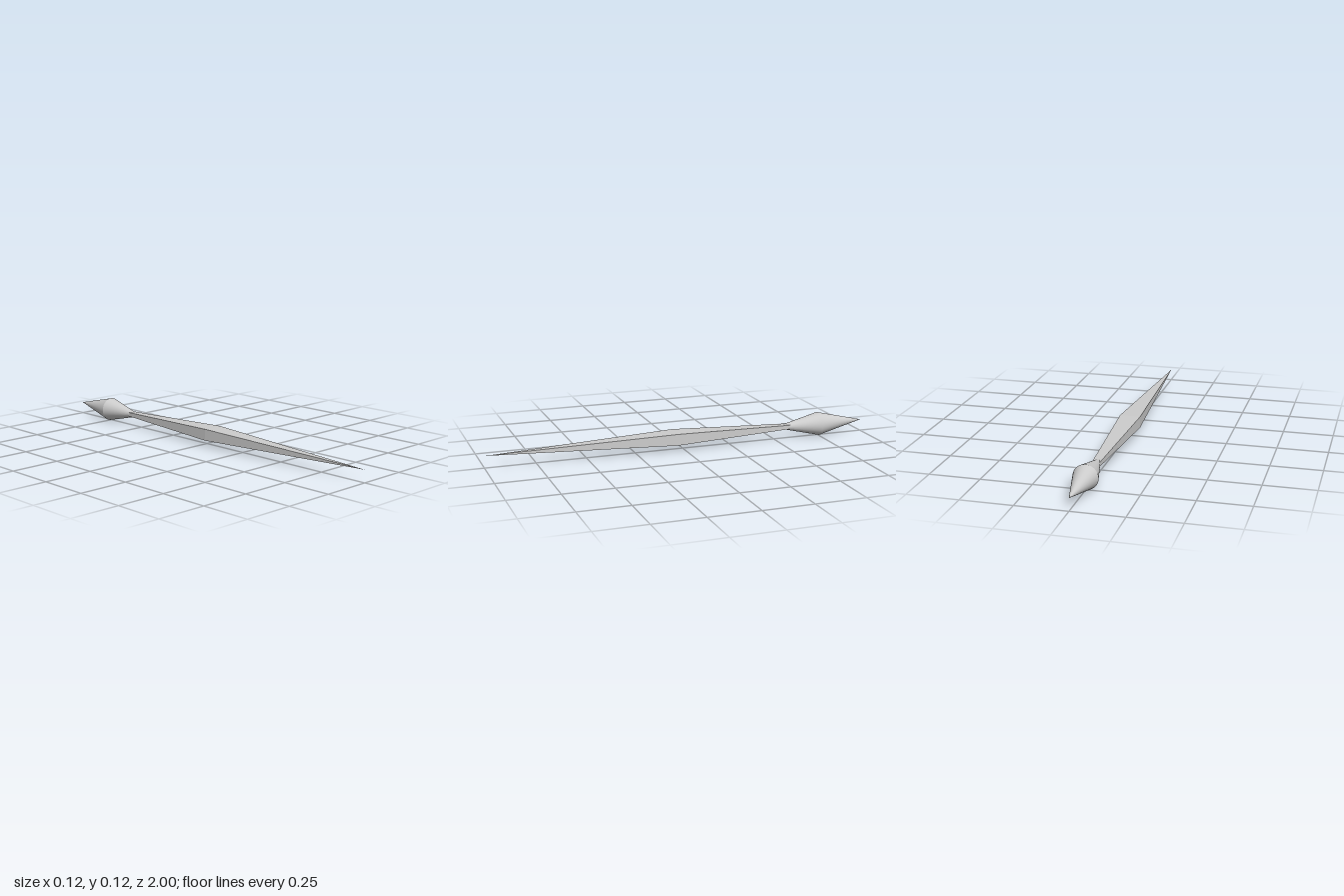
import * as THREE from 'three';

const AXIS_Y = 0.06;

// Cone lying along z, from its base at baseZ to its tip at tipZ
function pointAlongZ(baseZ, tipZ, halfWidth, halfHeight, sides) {
  const length = Math.abs(tipZ - baseZ);
  const square = sides === 4;
  let geo = new THREE.ConeGeometry(square ? Math.SQRT2 : 1, length, sides, 1, true, square ? Math.PI / 4 : 0);
  geo.translate(0, length / 2, 0);
  geo.rotateX(tipZ > baseZ ? Math.PI / 2 : -Math.PI / 2);
  geo.scale(halfWidth, halfHeight, 1);
  geo.translate(0, AXIS_Y, baseZ);
  if (square) {
    geo = geo.toNonIndexed();
    geo.computeVertexNormals(); // flat facets
  }
  return geo;
}

export function createModel() {
  const model = new THREE.Group();
  const steel = new THREE.MeshStandardMaterial({ color: 0xcccccc });
  steel.name = 'paleSteel';

  const add = (name, geo) => {
    const mesh = new THREE.Mesh(geo, steel);
    mesh.name = name;
    model.add(mesh);
  };

  // Four-sided blade, widest just ahead of the middle
  add('bladeFront', pointAlongZ(0.04, 1, 0.052, 0.029, 4));
  add('bladeBack', pointAlongZ(0.04, -0.92, 0.052, 0.029, 4));

  // Round pommel of two cones, base to base
  add('pommelFront', pointAlongZ(-0.75, -0.5, 0.06, 0.06, 48));
  add('pommelBack', pointAlongZ(-0.75, -1, 0.06, 0.06, 48));

  return model;
}
